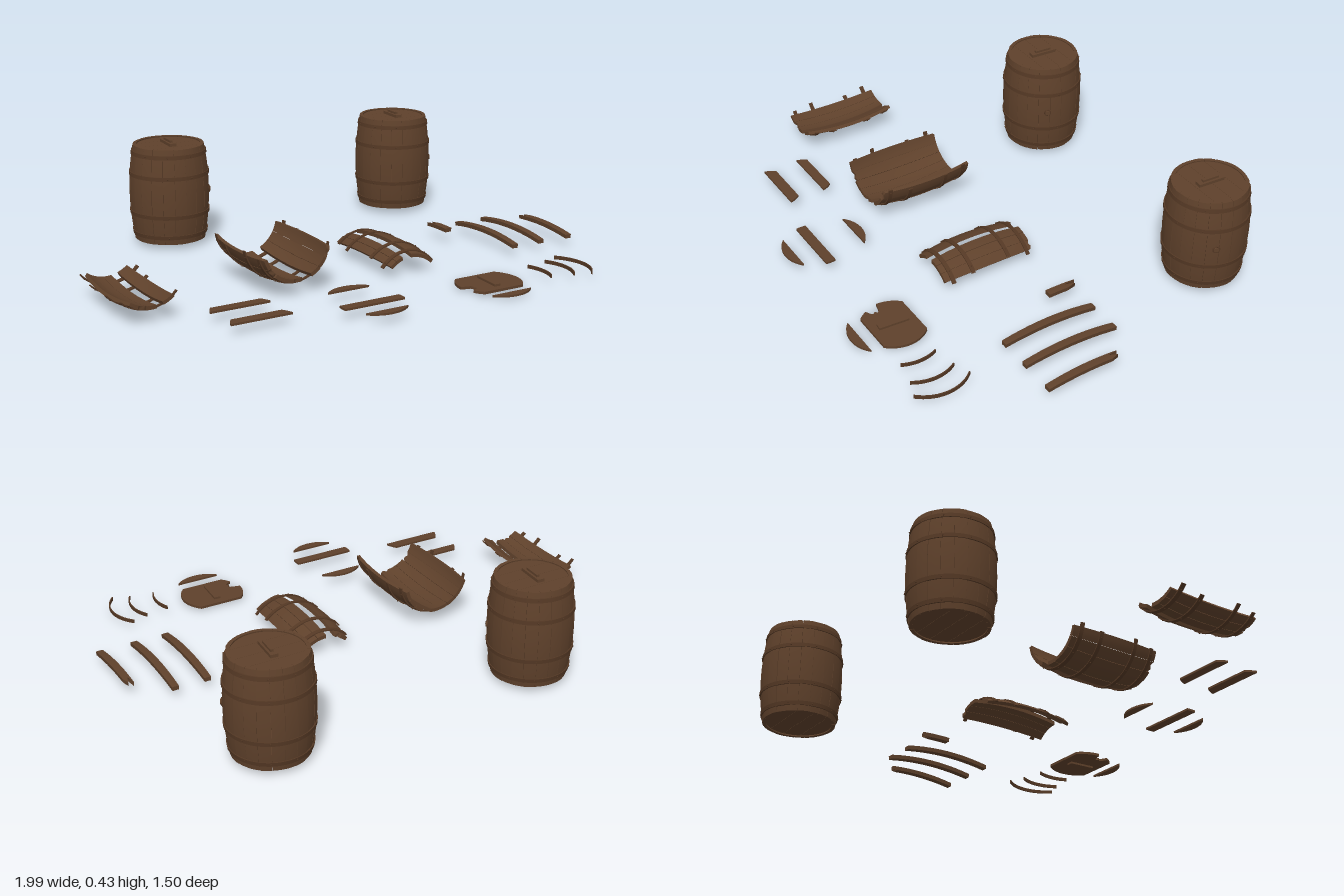
import * as THREE from 'three';

const wood = new THREE.MeshStandardMaterial({ color: 0x5f412b });
wood.name = 'brown wood';
const band = new THREE.MeshStandardMaterial({ color: 0x543824 });
band.name = 'dark hoop';

const HALF = 0.195;                       // half the barrel length
const DEG = Math.PI / 180;
const radius = t => 0.143 + 0.018 * (1 - t * t);
const HOOPS = [-0.165, -0.08, 0.08, 0.165].map(y => y / HALF);

function add(parent, name, geometry, material, x = 0, y = 0, z = 0) {
  const mesh = new THREE.Mesh(geometry, material);
  mesh.name = name;
  mesh.position.set(x, y, z);
  parent.add(mesh);
  return mesh;
}

function subgroup(parent, name, x, y, z) {
  const g = new THREE.Group();
  g.name = name;
  g.position.set(x, y, z);
  parent.add(g);
  return g;
}

// A box wrapped onto the bulged barrel wall: angles in degrees, t from -1 to 1
function wallBlock(a0, a1, t0, t1, inner, outer, skew = 0) {
  const segs = Math.max(3, Math.ceil((a1 - a0) / 6));
  const g = new THREE.BoxGeometry(1, 1, 1, segs, t1 - t0 > 0.3 ? 10 : 1, 1);
  const p = g.attributes.position;
  for (let i = 0; i < p.count; i++) {
    const u = p.getX(i) + 0.5, v = p.getY(i) + 0.5, w = p.getZ(i) + 0.5;
    const a = (a0 + (a1 - a0) * u) * DEG;
    const t = t0 + (t1 - t0 - skew * Math.abs(Math.sin(u * 5))) * v;
    const r = radius(t) + inner + (outer - inner) * w;
    p.setXYZ(i, r * Math.sin(a), t * HALF, r * Math.cos(a));
  }
  g.computeVertexNormals();
  return g;
}

// Staves alternate slightly in depth so their seams show
function stave(parent, a0, a1, i, t0 = -1, t1 = 1, skew = 0) {
  const lift = (i % 3 - 1) * 0.0008;
  add(parent, 'stave', wallBlock(a0 + 0.2, a1 - 0.2, t0, t1, -0.014, lift, skew), wood);
}

function hoop(parent, t, a0, a1) {
  add(parent, 'hoop', wallBlock(a0, a1, t - 0.04, t + 0.04, -0.001, 0.004), band);
  for (let a = a0 + 9; a < a1 - 4; a += 36) {
    const r = radius(t) + 0.004;
    const s = add(parent, 'nail', new THREE.SphereGeometry(0.0028, 8, 6), band,
      r * Math.sin(a * DEG), t * HALF, r * Math.cos(a * DEG));
    s.rotation.y = a * DEG;
  }
}

// Flat plank cut from a round lid between two z lines, optionally with a broken left edge
function lidSlice(z0, z1, r, thick, broken = false) {
  const pts = [], n = 20;
  const edge = z => Math.sqrt(Math.max(0, r * r - z * z));
  for (let i = 0; i <= n; i++) {
    const z = z0 + (z1 - z0) * i / n;
    pts.push(new THREE.Vector2(edge(z), z));
  }
  for (let i = n; i >= 0; i--) {
    const z = z0 + (z1 - z0) * i / n;
    let x = edge(z);
    if (broken && z > 0 && z < 0.045) x = 0.082 + 0.008 * (i % 2);
    else if (broken && z >= 0.045) x -= 0.006;
    pts.push(new THREE.Vector2(-x, z));
  }
  const g = new THREE.ExtrudeGeometry(new THREE.Shape(pts), { depth: thick, bevelEnabled: false });
  return g.rotateX(Math.PI / 2);          // top face lies at y = 0
}

function lidHandle(parent, y) {
  const h = subgroup(parent, 'lidHandle', 0, y, 0);
  h.rotation.y = -4 * DEG;
  add(h, 'handleBase', new THREE.BoxGeometry(0.028, 0.012, 0.11), wood, 0, 0.006, 0);
  add(h, 'handleRidge', new THREE.BoxGeometry(0.012, 0.01, 0.07), wood, 0, 0.016, 0);
}

function wholeBarrel(root, x, z) {
  const b = subgroup(root, 'barrel', x, 0.215, z);
  const n = 21, step = 360 / n;
  for (let i = 0; i < n; i++) stave(b, i * step, (i + 1) * step, i);
  for (const t of HOOPS) hoop(b, t, 0, 360);
  // Planked ends, set slightly inside the rim
  for (const y of [0.19, -0.182]) {
    for (let i = 0; i < 4; i++) {
      const z0 = -0.131 + i * 0.0655;
      add(b, 'endPlank', lidSlice(z0 + 0.0005, z0 + 0.065, 0.131, 0.008), wood, 0, y, 0);
    }
  }
  lidHandle(b, 0.19);
  const a = 65 * DEG;
  const bung = subgroup(b, 'bung', 0.161 * Math.sin(a), 0, 0.161 * Math.cos(a));
  bung.rotation.y = a;
  add(bung, 'bungRing', new THREE.TorusGeometry(0.012, 0.003, 8, 20), band);
  add(bung, 'bungPlug', new THREE.CylinderGeometry(0.01, 0.011, 0.012, 16).rotateX(Math.PI / 2), wood);
}

// Broken wall section lying on its side; runs are [start, end, number of staves]
function brokenSection(root, name, x, y, up, runs, h0, h1) {
  const g = subgroup(root, name, x, y, 0.11);
  g.rotation.x = up ? Math.PI / 2 : -Math.PI / 2;
  let k = 0;
  for (const [a0, a1, count] of runs) {
    const step = (a1 - a0) / count;
    for (let i = 0; i < count; i++, k++) {
      stave(g, a0 + i * step, a0 + (i + 1) * step, k, -1, 1, k % 3 === 1 ? 0.05 : 0);
    }
  }
  HOOPS.forEach((t, i) => hoop(g, t, h0 + (i % 2) * 5, h1 - (i % 3) * 4));
}

export function createModel() {
  const root = new THREE.Group();
  root.name = 'barrels and broken parts';

  wholeBarrel(root, -0.375, -0.59);
  wholeBarrel(root, 0.71, -0.59);

  brokenSection(root, 'smallBowlSection', -0.875, 0.195, true, [[-36, 9, 3], [20, 40, 1]], -49, 49);
  brokenSection(root, 'largeBowlSection', -0.29, 0.195, true, [[-74, 11, 5], [26, 80, 3]], -80, 84);
  brokenSection(root, 'archSection', 0.213, -0.06, false, [[-42, -17, 2], [-1, 44, 3]], -50, 50);

  // Loose staves: x, z centre, start, end, broken end
  for (const [x, z, t0, t1, skew] of [
    [0.58, -0.01, -0.2, 0.46, 0.25], [0.71, 0.11, -1, 1, 0],
    [0.84, 0.11, -1, 1, 0], [0.98, 0.11, -1, 0.56, 0.2],
  ]) {
    const g = subgroup(root, 'looseStave', x, -0.098, z);
    g.rotation.x = -Math.PI / 2;
    add(g, 'stave', wallBlock(-5.5, 5.5, t0, t1, -0.016, 0, skew), wood);
  }

  // Loose lid planks: x, z centre, cut from, cut to, height
  for (const [x, z, z0, z1, y] of [
    [-0.58, 0.448, -0.077, -0.038, 0.044], [-0.575, 0.593, -0.077, -0.034, 0.044],
    [-0.153, 0.531, -0.126, -0.09, 0.044], [-0.155, 0.605, -0.02, 0.02, 0.044],
    [-0.155, 0.61, 0.09, 0.126, 0.044], [0.382, 0.62, 0.09, 0.126, 0.02],
  ]) add(root, 'lidPlank', lidSlice(z0, z1, 0.126, 0.008), wood, x, y, z);

  // Broken lid with its handle and the batten underneath
  const lid = subgroup(root, 'brokenLid', 0.382, 0, 0.57);
  add(lid, 'lidBoard', lidSlice(-0.09, 0.09, 0.127, 0.01, true), wood, 0, 0.018, 0);
  const batten = add(lid, 'batten', new THREE.BoxGeometry(0.028, 0.009, 0.11), wood, 0, 0.0045, 0);
  const grip = add(lid, 'grip', new THREE.BoxGeometry(0.026, 0.009, 0.12), wood, 0, 0.022, 0);
  batten.rotation.y = grip.rotation.y = -4 * DEG;

  // Snapped hoop pieces
  for (const [x, half] of [[0.62, 26], [0.725, 33], [0.81, 44]]) {
    add(root, 'hoopPiece', wallBlock(90 - half, 90 + half, -0.035, 0.035, -0.001, 0.004),
      band, x - 0.164, 0.029, 0.595);
  }
  return root;
}
